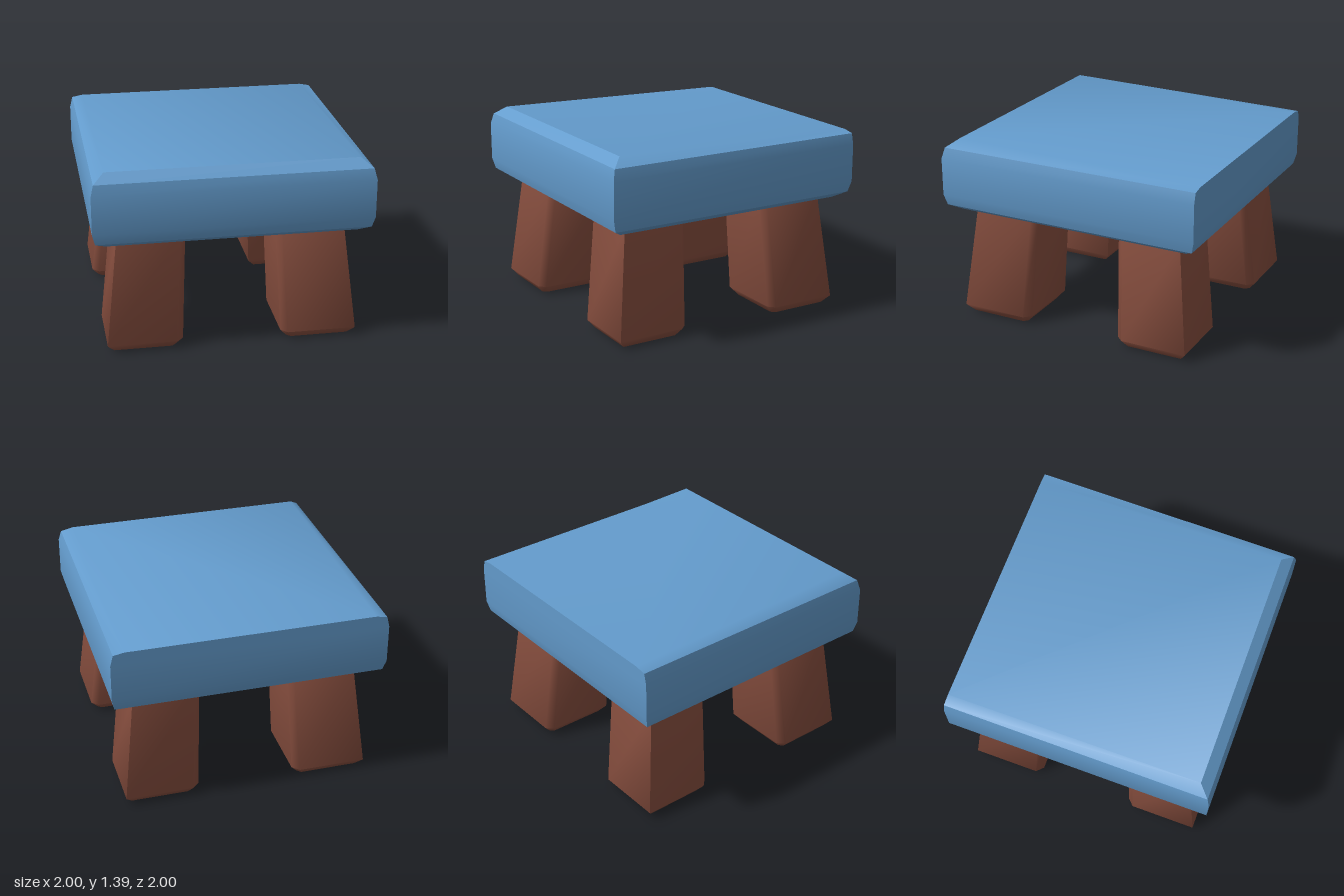
import * as THREE from 'three';
import { toCreasedNormals } from 'three/addons/utils/BufferGeometryUtils.js';

// Closed skin over a stack of rings, each counterclockwise seen from above
function loft(rings, crease) {
  const n = rings[0].length, top = (rings.length - 1) * n, index = [];
  for (let r = 0; r < rings.length - 1; r++) {
    for (let j = 0; j < n; j++) {
      const a = r * n + j, b = r * n + (j + 1) % n;
      index.push(a, b, b + n, a, b + n, a + n);
    }
  }
  for (let j = 1; j < n - 1; j++) {
    index.push(0, j + 1, j, top, top + j, top + j + 1);
  }
  const geometry = new THREE.BufferGeometry();
  geometry.setAttribute('position', new THREE.Float32BufferAttribute(rings.flat(2), 3));
  geometry.setIndex(index);
  return toCreasedNormals(geometry, crease);
}

// Square seat ring; the back edge may differ in depth and height
const seatRing = (h, y, backZ = -h, backY = y) =>
  [[h, y, h], [h, backY, backZ], [-h, backY, backZ], [-h, y, h]];

// Leg ring from inner to outer bound, with its two side corners chamfered
function legRing(inner, outer, y, cut, sx, sz) {
  const ring = [
    [outer, outer], [outer, inner + cut], [outer - cut, inner],
    [inner, inner], [inner, outer - cut], [inner + cut, outer],
  ].map(([x, z]) => [x * sx, y, z * sz]);
  return sx * sz < 0 ? ring.reverse() : ring;
}

export function createModel() {
  const group = new THREE.Group();
  const blue = new THREE.MeshStandardMaterial({ name: 'blue seat', color: 0x639bcc });
  const brown = new THREE.MeshStandardMaterial({ name: 'brown wood', color: 0x8a5040 });

  // Thick bevelled seat, its top falling gently to a square back edge
  const seat = new THREE.Mesh(loft([
    seatRing(0.9, 0.84), seatRing(0.98, 0.89), seatRing(1, 0.97), seatRing(1, 1.25),
    seatRing(0.98, 1.33, -1), seatRing(0.9, 1.39, -1, 1.345),
  ], 0.66), blue);
  seat.name = 'seat';
  group.add(seat);

  // Four splayed, tapering legs
  for (const sx of [-1, 1]) {
    for (const sz of [-1, 1]) {
      const leg = new THREE.Mesh(loft([
        legRing(0.41, 0.86, 0, 0.03, sx, sz),
        legRing(0.36, 0.91, 0.06, 0.05, sx, sz),
        legRing(0.325, 0.82, 0.86, 0.045, sx, sz),
      ], 0.9), brown);
      leg.name = (sz > 0 ? 'front' : 'back') + (sx > 0 ? 'Left' : 'Right') + 'Leg';
      group.add(leg);
    }
  }
  return group;
}
